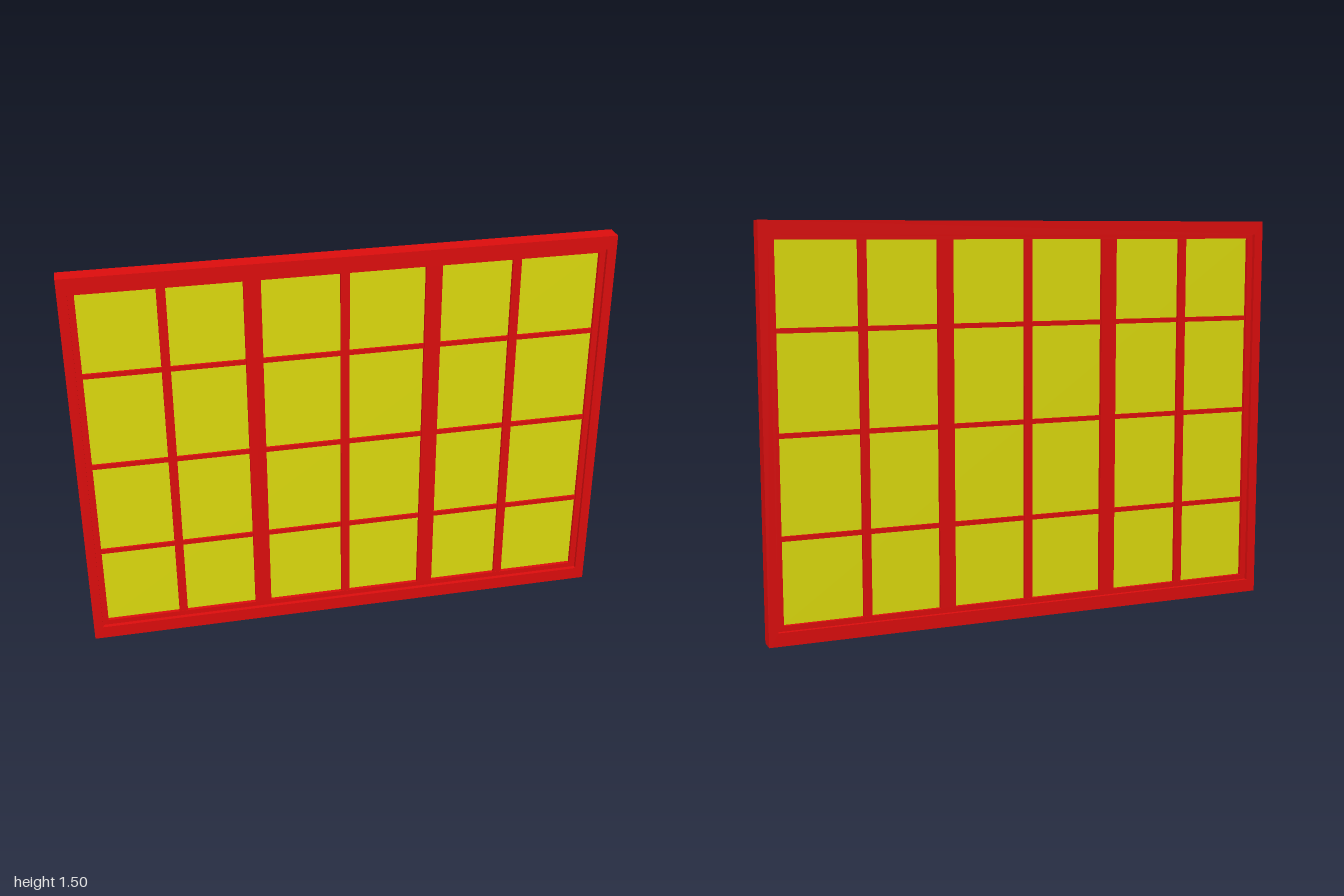
import * as THREE from 'three';

const red = new THREE.MeshStandardMaterial({ color: 0xe00d0d });
const yellow = new THREE.MeshStandardMaterial({ color: 0xe0de0d });

// Rectangular ring between two [x, y0, y1] outlines, centred on z = 0
function ring(name, [ox, oy0, oy1], [ix, iy0, iy1], depth) {
  const rect = (C, x, y0, y1) => new C([
    new THREE.Vector2(-x, y0), new THREE.Vector2(x, y0),
    new THREE.Vector2(x, y1), new THREE.Vector2(-x, y1),
  ]);
  const shape = rect(THREE.Shape, ox, oy0, oy1);
  shape.holes.push(rect(THREE.Path, ix, iy0, iy1));
  const geo = new THREE.ExtrudeGeometry(shape, { depth, bevelEnabled: false });
  geo.translate(0, 0, -depth / 2);
  const mesh = new THREE.Mesh(geo, red);
  mesh.name = name;
  return mesh;
}

function box(name, x0, x1, y0, y1, depth, material) {
  const mesh = new THREE.Mesh(new THREE.BoxGeometry(x1 - x0, y1 - y0, depth), material);
  mesh.position.set((x0 + x1) / 2, (y0 + y1) / 2, 0);
  mesh.name = name;
  return mesh;
}

export function createModel() {
  const model = new THREE.Group();
  model.name = 'window';

  const outer = [1, 0, 1.5], rebate = [0.965, 0.05, 1.45], opening = [0.942, 0.07, 1.433];
  const [ox, y0, y1] = opening;

  // Outer frame and the recessed sash inside it
  model.add(ring('outerFrame', outer, rebate, 0.066));
  model.add(ring('sash', rebate, opening, 0.036));

  // Wide mullions and narrow vertical bars: [centre, width]
  const verticals = [[-0.65, 0.032], [-0.334, 0.062], [-0.003, 0.032], [0.322, 0.06], [0.631, 0.032]];
  for (const [x, w] of verticals) {
    const wide = w > 0.05;
    model.add(box(wide ? 'mullion' : 'verticalBar', x - w / 2, x + w / 2, y0, y1, wide ? 0.036 : 0.034, red));
  }

  // Thin horizontal glazing bars, fitted between the uprights
  const edges = [-ox, ...verticals.flatMap(([x, w]) => [x - w / 2, x + w / 2]), ox];
  for (const y of [0.384, 0.752, 1.12]) {
    for (let i = 0; i < edges.length; i += 2) {
      model.add(box('glazingBar', edges[i], edges[i + 1], y - 0.009, y + 0.009, 0.026, red));
    }
  }

  // Glass sheet behind all the bars
  model.add(box('glass', -ox, ox, y0, y1, 0.008, yellow));
  return model;
}
